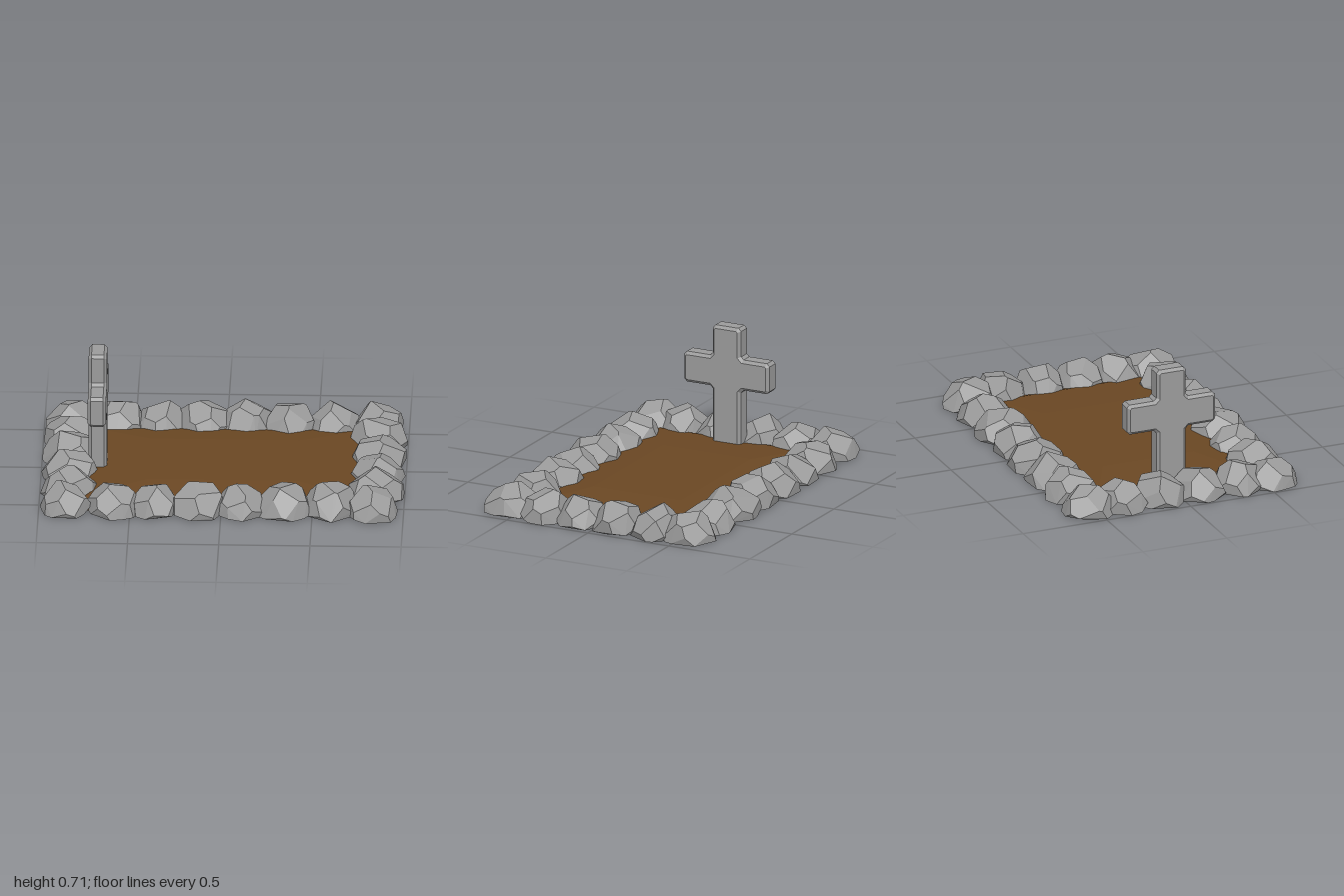
import * as THREE from 'three';
import { ConvexGeometry } from 'three/addons/geometries/ConvexGeometry.js';

const stoneMat = new THREE.MeshStandardMaterial({ color: 0x9b9b9b, flatShading: true });
const soilMat = new THREE.MeshStandardMaterial({ color: 0x6a4723, flatShading: true, side: THREE.DoubleSide });

function seeded(seed) {
  return () => {
    seed = (seed * 16807) % 2147483647;
    return seed / 2147483647;
  };
}

// Corners of a rock cut by planes facing evenly scattered, jittered directions
function rockCorners(rand) {
  const count = 20;
  const spin = rand() * 6.28;
  const directions = [];
  for (let i = 0; i < count; i++) {
    const y = 1 - (2 * i + 1) / count;
    const r = Math.sqrt(1 - y * y);
    const a = i * 2.39996 + spin;
    const jitter = () => (rand() - 0.5) * 0.3;
    directions.push(new THREE.Vector3(r * Math.cos(a) + jitter(), y + jitter(), r * Math.sin(a) + jitter()).normalize());
  }
  // each hull triangle gives the point where its three cutting planes meet
  const hull = new ConvexGeometry(directions).getAttribute('position');
  const corners = [];
  for (let i = 0; i < hull.count; i += 3) {
    const [a, b, c] = [0, 1, 2].map((k) => new THREE.Vector3().fromBufferAttribute(hull, i + k));
    const normal = b.sub(a).cross(c.sub(a)).normalize();
    corners.push(normal.divideScalar(normal.dot(a)));
  }
  return corners;
}

// Faceted boulder, flattened at the ground and fitted to the given size
function stoneGeometry(rand, width, height, depth) {
  const points = rockCorners(rand);
  for (const p of points) p.y = Math.max(p.y, 0);
  const box = new THREE.Box3().setFromPoints(points);
  const size = box.getSize(new THREE.Vector3());
  const mid = box.getCenter(new THREE.Vector3());
  for (const p of points) {
    p.set((p.x - mid.x) * width / size.x, p.y * height / size.y, (p.z - mid.z) * depth / size.z);
  }
  return new ConvexGeometry(points);
}

// Ring of stones: two long rows and two short columns
function createBorder() {
  const border = new THREE.Group();
  border.name = 'stoneBorder';
  const rand = seeded(4217);
  const add = (name, x, z, w, d) => {
    const stone = new THREE.Mesh(stoneGeometry(rand, w, 0.155 + rand() * 0.008, d), stoneMat);
    stone.name = name;
    stone.position.set(x, 0, z);
    border.add(stone);
  };
  const rowX = [-0.85, -0.59, -0.365, -0.125, 0.105, 0.35, 0.595, 0.825];
  for (const side of [-1, 1]) {
    rowX.forEach((x, i) => {
      add(side > 0 ? 'frontStone' : 'backStone', x, side * 0.54, i % 7 ? 0.295 : 0.285, i % 2 ? 0.315 : 0.3);
    });
    for (const z of [-0.345, -0.115, 0.11, 0.34]) {
      add(side > 0 ? 'leftStone' : 'rightStone', side * 0.84, z, 0.315, 0.285);
    }
  }
  return border;
}

// Low earth mound lofted through rectangular rings
function createSoil() {
  const rings = [[0.85, 0.002, 0.57], [0.72, 0.045, 0.43], [0.41, 0.06, 0.27]];
  const positions = [];
  const index = [];
  rings.forEach(([x, y, z], r) => {
    positions.push(-x, y, z, x, y, z, x, y, -z, -x, y, -z);
    if (r === rings.length - 1) return;
    for (let k = 0; k < 4; k++) {
      const a = r * 4 + k, b = r * 4 + (k + 1) % 4;
      index.push(a, b, b + 4, a, b + 4, a + 4);
    }
  });
  index.push(8, 9, 10, 8, 10, 11);
  const geometry = new THREE.BufferGeometry();
  geometry.setAttribute('position', new THREE.Float32BufferAttribute(positions, 3));
  geometry.setIndex(index);
  geometry.computeVertexNormals();
  const soil = new THREE.Mesh(geometry, soilMat);
  soil.name = 'soil';
  return soil;
}

// Stone cross with chamfered edges, outer corners and inner corners
function createCross() {
  const b = 0.016; // bevel
  const post = 0.087 - b, arm = 0.263 - b, inner = 0.025, outer = 0.007;
  const low = 0.36 + b, high = 0.535 - b, top = 0.713 - b;
  const half = [
    [post, 0.03], [post, low - inner], [post + inner, low],
    [arm - outer, low], [arm, low + outer], [arm, high - outer], [arm - outer, high],
    [post + inner, high], [post, high + inner], [post, top - outer], [post - outer, top],
  ];
  const outline = [...half, ...half.map(([x, y]) => [-x, y]).reverse()];
  const shape = new THREE.Shape(outline.map(([x, y]) => new THREE.Vector2(x, y)));
  const depth = 0.1 - 2 * b;
  const geometry = new THREE.ExtrudeGeometry(shape, {
    depth, bevelEnabled: true, bevelSize: b, bevelThickness: b, bevelSegments: 1,
  });
  geometry.translate(0, 0, -depth / 2);
  geometry.rotateY(Math.PI / 2);
  const cross = new THREE.Mesh(geometry, stoneMat);
  cross.name = 'cross';
  cross.position.x = -0.69;
  return cross;
}

export function createModel() {
  const model = new THREE.Group();
  model.name = 'grave';
  model.add(createSoil(), createBorder(), createCross());
  return model;
}
